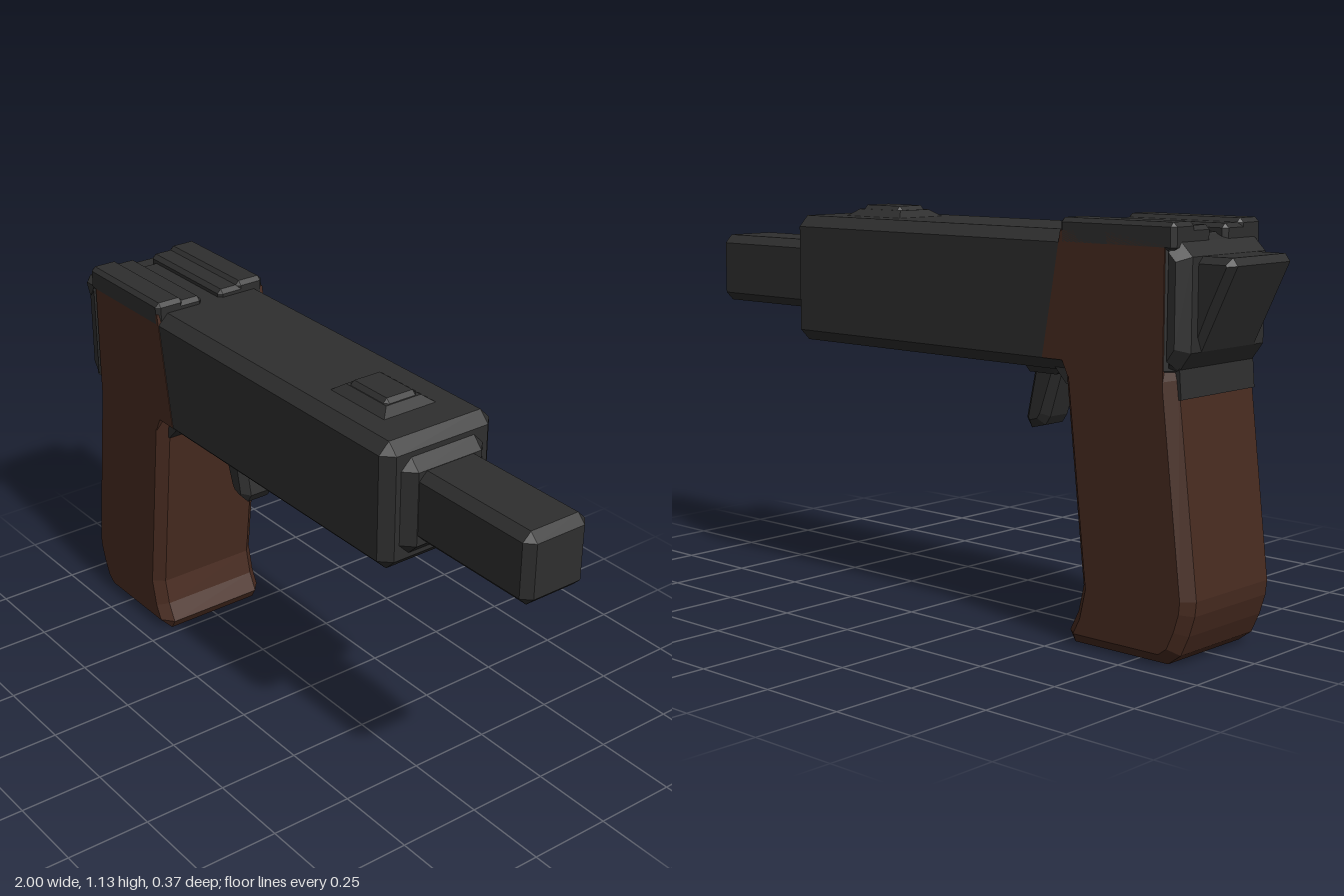
import * as THREE from 'three';
import { ConvexGeometry } from 'three/addons/geometries/ConvexGeometry.js';

const darkMetal = new THREE.MeshStandardMaterial({ color: 0x2e2e2e, flatShading: true });
darkMetal.name = 'darkMetal';
const brownGrip = new THREE.MeshStandardMaterial({ color: 0x482b20, flatShading: true });
brownGrip.name = 'brownGrip';

// Box between two corners with every edge chamfered
function chamferBox(x0, x1, y0, y1, z0, z1, b) {
  const h = [(x1 - x0) / 2, (y1 - y0) / 2, (z1 - z0) / 2];
  const points = [];
  for (let axis = 0; axis < 3; axis++) {
    for (const sx of [-1, 1]) for (const sy of [-1, 1]) for (const sz of [-1, 1]) {
      const p = [sx, sy, sz].map((s, i) => s * (i === axis ? h[i] : h[i] - b));
      points.push(new THREE.Vector3(...p));
    }
  }
  return new ConvexGeometry(points).translate((x0 + x1) / 2, (y0 + y1) / 2, (z0 + z1) / 2);
}

// Side profile extruded between z0 and z1, with a flat bevel kept inside the outline
function profile(points, z0, z1, bevel = 0) {
  const shape = new THREE.Shape(points.map(([x, y]) => new THREE.Vector2(x, y)));
  return new THREE.ExtrudeGeometry(shape, {
    depth: z1 - z0 - 2 * bevel, bevelEnabled: bevel > 0, bevelSegments: 1,
    bevelSize: bevel, bevelThickness: bevel, bevelOffset: -bevel,
  }).translate(0, 0, z0 + bevel);
}

export function createModel() {
  const group = new THREE.Group();
  const add = (name, geometry, material = darkMetal) => {
    const mesh = new THREE.Mesh(geometry, material);
    mesh.name = name;
    group.add(mesh);
  };

  // Receiver, collar and square barrel
  add('receiver', chamferBox(-0.86, 0.56, 0.73, 1.102, -0.185, 0.185, 0.032));
  add('barrelCollar', chamferBox(0.45, 0.592, 0.775, 1.055, -0.137, 0.137, 0.032));
  add('barrel', chamferBox(0.5, 1, 0.815, 1.022, -0.103, 0.103, 0.025));

  // Handle with a curved foot
  add('grip', profile([
    [-0.84, 0], [-0.53, 0], [-0.512, 0.03], [-0.54, 0.085], [-0.557, 0.16], [-0.552, 0.2],
    [-0.488, 0.76], [-0.488, 0.85], [-0.83, 0.85], [-0.858, 0.74], [-0.926, 0.18], [-0.922, 0.14],
    [-0.905, 0.085], [-0.88, 0.03],
  ], -0.187, 0.187, 0.03), brownGrip);

  // Side panels running up over the receiver
  for (const side of [-1, 1]) {
    const outer = side * 0.187, inner = side * 0.14;
    add('gripPanel', profile([
      [-0.83, 0.72], [-0.52, 0.72], [-0.5, 0.762], [-0.43, 0.762], [-0.455, 0.9],
      [-0.49, 1.102], [-0.83, 1.102],
    ], Math.min(inner, outer), Math.max(inner, outer)), brownGrip);
  }

  // Dark transitions between handle and receiver
  add('frontCollar', profile([
    [-0.55, 0.695], [-0.493, 0.695], [-0.45, 0.74], [-0.55, 0.74],
  ], -0.16, 0.16));
  add('rearCollar', profile([
    [-0.869, 0.69], [-0.8, 0.69], [-0.8, 0.8], [-0.86, 0.8],
  ], -0.16, 0.16));

  // Rear plate and wedge-shaped hammer
  add('rearPlate', profile([
    [-0.825, 0.75], [-0.825, 1.1], [-0.86, 1.085], [-0.895, 1.05], [-0.895, 0.81], [-0.86, 0.762],
  ], -0.187, 0.187, 0.03));
  add('hammer', profile([
    [-0.87, 0.79], [-0.87, 1.05], [-0.985, 1.05], [-1, 1.03], [-0.895, 0.81],
  ], -0.132, 0.132, 0.018));

  // Twin rear sight rails, each with a raised outer strip
  for (const side of [-1, 1]) {
    const z = [0.03, 0.187].map((v) => v * side).sort((a, b) => a - b);
    add('rearSightRail', chamferBox(-0.86, -0.485, 1.06, 1.124, z[0], z[1], 0.012));
    const strip = [0.095, 0.187].map((v) => v * side).sort((a, b) => a - b);
    add('rearSightStrip', chamferBox(-0.86, -0.485, 1.06, 1.135, strip[0], strip[1], 0.012));
  }

  // Front sight: flared base and small raised block
  const sight = [];
  for (const sx of [-1, 1]) for (const sz of [-1, 1]) {
    sight.push(new THREE.Vector3(0.315 + sx * 0.115, 1.1, sz * 0.09));
    sight.push(new THREE.Vector3(0.315 + sx * 0.085, 1.122, sz * 0.058));
  }
  add('frontSightBase', new ConvexGeometry(sight));
  add('frontSight', chamferBox(0.235, 0.395, 1.09, 1.134, -0.055, 0.055, 0.012));

  // Trigger and its root
  add('triggerRoot', profile([
    [-0.44, 0.74], [-0.38, 0.7], [-0.285, 0.7], [-0.255, 0.74],
  ], -0.09, 0.09, 0.02));
  add('trigger', profile([
    [-0.385, 0.74], [-0.332, 0.575], [-0.315, 0.55], [-0.265, 0.537], [-0.247, 0.565], [-0.285, 0.74],
  ], -0.058, 0.058, 0.022));

  return group;
}
